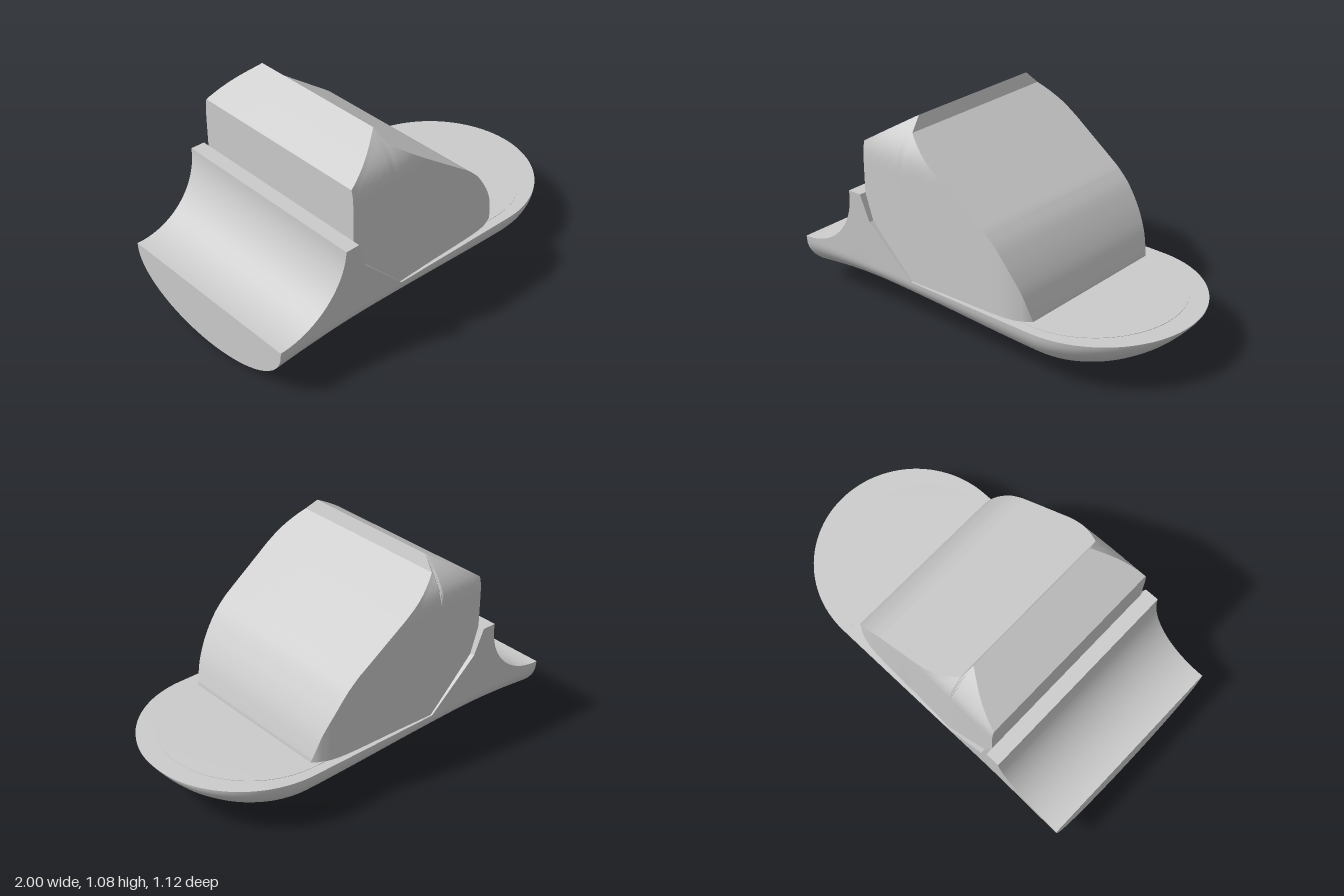
import * as THREE from 'three';
import { toCreasedNormals } from 'three/addons/utils/BufferGeometryUtils.js';

const material = new THREE.MeshStandardMaterial({ color: 0xcccccc });
const { lerp } = THREE.MathUtils;

// y of a polyline at x
function at(points, x) {
  let i = 1;
  while (i < points.length - 1 && points[i][0] < x) i++;
  const [x0, y0] = points[i - 1], [x1, y1] = points[i];
  return lerp(y0, y1, THREE.MathUtils.clamp((x - x0) / (x1 - x0), 0, 1));
}

function smooth(points, n = 120) {
  return new THREE.SplineCurve(points.map(p => new THREE.Vector2(...p))).getPoints(n).map(p => [p.x, p.y]);
}

// Skin closed rings of points ordered along x, with flat end caps
function loft(rings, crease) {
  const pos = [];
  const tri = (a, b, c) => {
    const n = b.clone().sub(a).cross(c.clone().sub(a));
    if (n.length() > 1e-9) pos.push(...a, ...b, ...c);
  };
  const m = rings[0].length;
  for (let i = 0; i < rings.length - 1; i++) {
    for (let j = 0; j < m; j++) {
      const k = (j + 1) % m, r = rings[i], s = rings[i + 1];
      tri(r[j], r[k], s[j]);
      tri(r[k], s[k], s[j]);
    }
  }
  for (const [ring, first] of [[rings[0], true], [rings.at(-1), false]]) {
    const c = new THREE.Vector3();
    ring.forEach(p => c.addScaledVector(p, 1 / m));
    ring.forEach((p, j) => {
      const q = ring[(j + 1) % m];
      if (first) tri(c, q, p); else tri(c, p, q);
    });
  }
  const g = new THREE.BufferGeometry();
  g.setAttribute('position', new THREE.Float32BufferAttribute(pos, 3));
  return toCreasedNormals(g, crease);
}

function addMesh(group, name, geometry) {
  const mesh = new THREE.Mesh(geometry, material);
  mesh.name = name;
  group.add(mesh);
  return mesh;
}

const RIM = 0.27;
const keel = smooth([[-1, 0.005], [-0.8, 0.045], [-0.6, 0.07], [-0.4, 0.072], [-0.2, 0.062], [0, 0.047],
  [0.2, 0.03], [0.4, 0.018], [0.5, 0.018], [0.6, 0.03], [0.7, 0.058], [0.8, 0.1], [0.9, 0.162], [0.96, 0.217], [1, RIM]]);
const beam = smooth([[-1, 0.538], [-0.8, 0.533], [-0.55, 0.527], [-0.2, 0.525], [0.48, 0.52]]);

// Half-width of the hull at the rim, rounded off at the toe
function halfWidth(x) {
  return x < 0.48 ? at(beam, x) : 0.52 * Math.sqrt(Math.max(0, 1 - ((x - 0.48) / 0.52) ** 2));
}

function hullGeometry() {
  // Stations as [x, top]: concave heel scoop, ledge, slope, flat deck, round toe
  const stations = [];
  for (let i = 0; i <= 20; i++) {
    const t = i / 20 * Math.PI / 2;
    stations.push([-1 + 0.37 * Math.sin(t), 0.658 - 0.373 * Math.cos(t)]);
  }
  stations.push([-0.555, 0.658], [-0.51, 0.52]);
  for (let i = 1; i <= 5; i++) stations.push([lerp(-0.51, -0.26, i / 5), lerp(0.52, RIM, i / 5)]);
  for (let i = 1; i <= 12; i++) stations.push([lerp(-0.26, 0.48, i / 12), RIM]);
  for (let i = 1; i <= 28; i++) stations.push([0.48 + 0.52 * Math.sin(i / 28 * Math.PI / 2), RIM]);

  return loft(stations.map(([x, top]) => {
    const w = halfWidth(x), depth = RIM - at(keel, x), side = [];
    // Flared wall above the rim, then a half-elliptic belly
    for (let k = 0; k < 5; k++) {
      const y = lerp(top, RIM, k / 5);
      side.push([w + 0.08 * (y - RIM), y]);
    }
    for (let k = 0; k <= 16; k++) {
      const a = k / 16 * Math.PI / 2;
      side.push([w * Math.cos(a), RIM - depth * Math.sin(a)]);
    }
    const right = side.map(([z, y]) => new THREE.Vector3(x, y, z));
    const left = side.slice(0, -1).reverse().map(([z, y]) => new THREE.Vector3(x, y, -z));
    return [...right, ...left];
  }), 0.4);
}

function cabinGeometry() {
  const brow = smooth([[0.2, 0.67], [0.26, 0.613], [0.31, 0.548], [0.36, 0.47], [0.4, 0.388], [0.435, 0.272]], 20);
  const plan = smooth([[-0.56, 0.522], [-0.3, 0.518], [-0.06, 0.507], [0.27, 0.493], [0.39, 0.465], [0.44, 0.43]]);
  const shoulder = smooth([[0.2, 1], [0.8, 1], [0.87, 0.997], [0.92, 0.982], [0.97, 0.935], [1.02, 0.86], [1.08, 0.74]]);
  const stations = [];
  for (let i = 0; i < 10; i++) stations.push([lerp(-0.555, -0.31, i / 10), lerp(0.925, 1.08, i / 10)]);
  stations.push([-0.31, 1.08]);
  for (let i = 0; i < 16; i++) stations.push([lerp(-0.29, 0.2, i / 16), lerp(1.015, 0.67, i / 16)]);
  stations.push(...brow);

  return loft(stations.map(([x, top]) => {
    const right = [], n = 24;
    for (let k = 0; k <= n; k++) {
      const y = lerp(top, 0.265, k / n);
      right.push(new THREE.Vector3(x, y, at(plan, x) * at(shoulder, y)));
    }
    const left = right.map(p => new THREE.Vector3(p.x, p.y, -p.z)).reverse();
    return [...right, ...left];
  }), 0.4);
}

// Thin raised panel following the toe outline
function deckGeometry() {
  const shape = new THREE.Shape();
  shape.moveTo(-0.2, -0.48);
  shape.lineTo(0.44, -0.47);
  shape.absellipse(0.44, 0, 0.46, 0.47, -Math.PI / 2, Math.PI / 2);
  shape.lineTo(-0.2, 0.48);
  shape.closePath();
  const g = new THREE.ExtrudeGeometry(shape, { depth: 0.008, bevelEnabled: false, curveSegments: 40 });
  return g.rotateX(-Math.PI / 2).translate(0, 0.264, 0);
}

export function createModel() {
  const model = new THREE.Group();
  model.name = 'model';
  addMesh(model, 'hull', hullGeometry());
  addMesh(model, 'cabin', cabinGeometry());
  addMesh(model, 'deckPanel', deckGeometry());
  return model;
}
